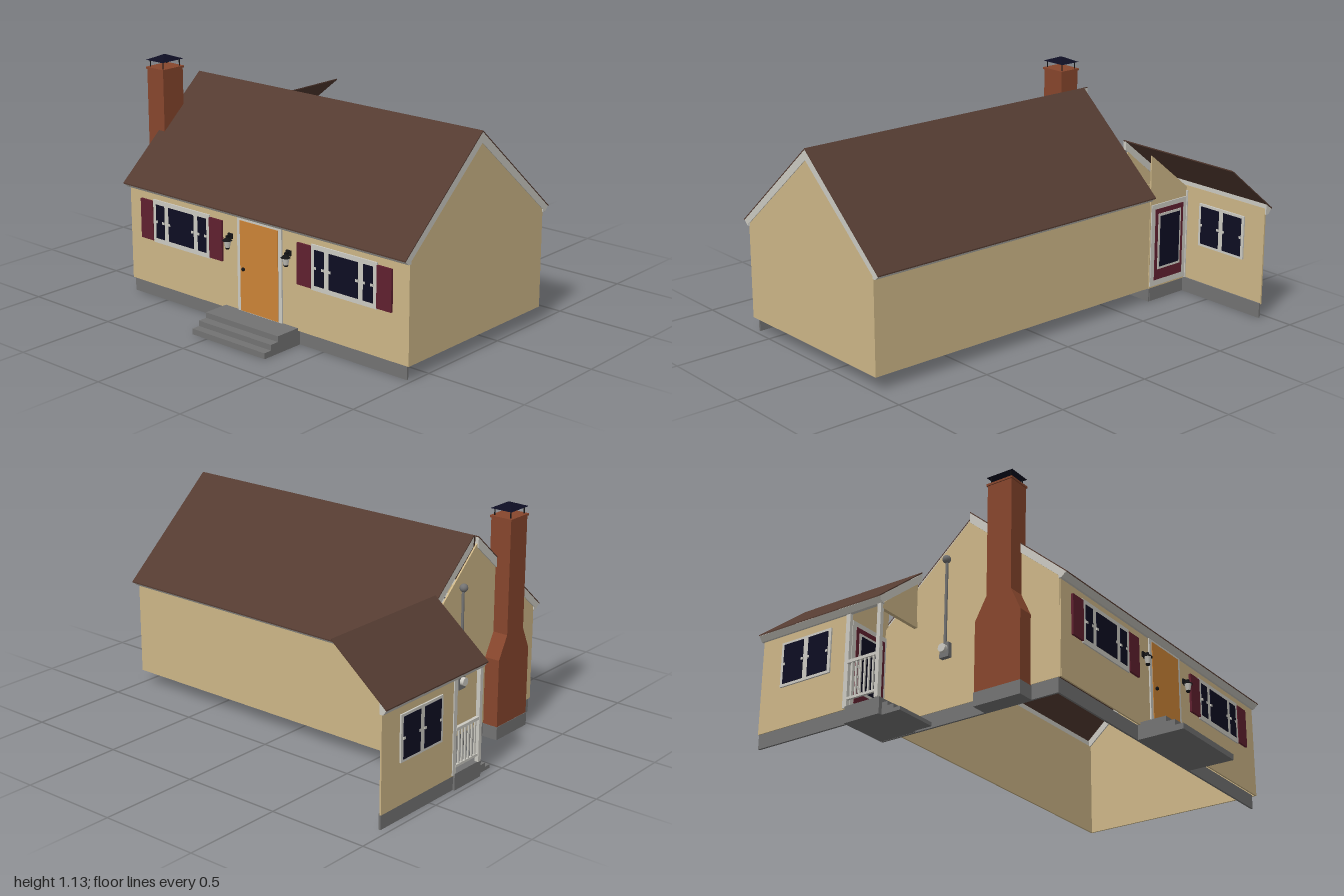
import * as THREE from 'three';

const mat = (name, color) => {
  const m = new THREE.MeshStandardMaterial({ color });
  m.name = name;
  return m;
};

export function createModel() {
  const house = new THREE.Group();
  house.name = 'house';
  const tan = mat('tanSiding', 0xcdb687), roofing = mat('brownShingle', 0x543b31);
  const trim = mat('paleTrim', 0xcccac2), stone = mat('greyConcrete', 0x737373);
  const brick = mat('redBrick', 0x87462d), maroon = mat('maroonPaint', 0x60202f);
  const glass = mat('navyGlass', 0x0d0d22), orange = mat('orangeDoor', 0xcc8437);
  const black = mat('blackMetal', 0x141416);
  roofing.side = THREE.DoubleSide;

  const add = (name, geo, m, parent = house) => {
    const mesh = new THREE.Mesh(geo, m);
    mesh.name = name;
    parent.add(mesh);
    return mesh;
  };
  // box given by its limits on each axis
  const box = (name, m, x0, x1, y0, y1, z0, z1, parent) => {
    const g = new THREE.BoxGeometry(x1 - x0, y1 - y0, z1 - z0);
    g.translate((x0 + x1) / 2, (y0 + y1) / 2, (z0 + z1) / 2);
    return add(name, g, m, parent);
  };
  const extrude = (pts, depth) => new THREE.ExtrudeGeometry(
    new THREE.Shape(pts.map(p => new THREE.Vector2(...p))), { depth, bevelEnabled: false });
  // [z, y] outline swept along x
  const alongX = (name, m, pts, x0, x1) =>
    add(name, extrude(pts, x1 - x0).rotateY(-Math.PI / 2).translate(x1, 0, 0), m);
  // [x, y] outline swept along z
  const alongZ = (name, m, pts, z0, z1) =>
    add(name, extrude(pts, z1 - z0).translate(0, 0, z0), m);

  // main walls
  box('frontWall', tan, -0.72, 0.995, 0.07, 0.55, 0.626, 0.634);
  box('backWall', tan, -0.715, 0.995, 0.07, 0.55, -0.33, -0.322);
  const gable = [[0.63, 0.07], [0.63, 0.55], [0.15, 0.975], [-0.326, 0.55], [-0.326, 0.07]];
  alongX('rightGableWall', tan, gable, 0.987, 0.995);
  alongX('leftGableWall', tan, gable, -0.722, -0.714);

  // main roof, rake boards and eave soffits
  [[1, -0.73], [-1, -0.703]].forEach(([s, xl]) => {
    const z = d => 0.15 + s * d;
    alongX('roofSlope', roofing, [[z(0.52), 0.555], [z(0), 1.012], [z(0), 1.006], [z(0.52), 0.549]], xl, 1);
    const rake = [[z(0.518), 0.552], [z(0), 1.007], [z(0), 0.957], [z(0.495), 0.53]];
    alongX('rakeBoard', trim, rake, 0.98, 0.999);
    alongX('rakeBoard', trim, rake, xl + 0.001, xl + 0.02);
    alongX('eaveSoffit', trim,
      [[z(0.518), 0.55], [z(0.495), 0.53], [z(0.478), 0.53], [z(0.478), 0.58]], xl + 0.002, 0.998);
  });

  // foundations
  box('frontFoundation', stone, -0.72, 0.975, 0, 0.07, 0.61, 0.62);
  box('leftFoundation', stone, -0.72, -0.71, 0, 0.07, -0.33, 0.62);
  box('wingFoundation', stone, -0.965, -0.955, 0, 0.075, -0.84, -0.33);
  box('chimneyFoundation', stone, -0.802, -0.71, 0, 0.065, 0.238, 0.482);

  // triple windows with shutters, set through the front wall
  [-0.37, 0.635].forEach(cx => {
    const w = new THREE.Group();
    w.name = 'frontWindow';
    house.add(w);
    box('windowFrame', trim, cx - 0.188, cx + 0.188, 0.288, 0.5, 0.619, 0.641, w);
    [[-0.167, -0.112], [-0.083, 0.083], [0.112, 0.167]].forEach(([a, b]) => {
      box('pane', glass, cx + a, cx + b, 0.312, 0.478, 0.616, 0.644, w);
      for (const e of [a, b]) {
        const inX = e === a ? [e - 0.001, e + 0.012] : [e - 0.012, e + 0.001];
        box('muntin', trim, cx + inX[0], cx + inX[1], 0.388, 0.4, 0.614, 0.646, w);
      }
    });
    for (const s of [-1, 1]) {
      const c = cx + s * 0.229;
      box('shutter', maroon, c - 0.041, c + 0.041, 0.295, 0.49, 0.615, 0.645, w);
    }
  });

  // front door
  box('doorCasing', trim, -0.004, 0.27, 0.07, 0.53, 0.619, 0.641);
  box('frontDoor', orange, 0.016, 0.25, 0.085, 0.518, 0.616, 0.644);
  add('doorKnob', new THREE.SphereGeometry(0.009, 12, 8).translate(0.04, 0.29, 0.65), black);

  // wall lanterns beside the door
  [-0.05, 0.312].forEach(x => {
    const l = new THREE.Group();
    l.name = 'wallLantern';
    l.position.set(x, 0, 0.658);
    house.add(l);
    box('bracket', black, -0.014, 0.014, 0.415, 0.44, -0.025, -0.015, l);
    box('arm', black, -0.005, 0.005, 0.425, 0.434, -0.02, 0.005, l);
    add('lanternCap', new THREE.CylinderGeometry(0.006, 0.024, 0.016, 6).translate(0, 0.418, 0), black, l);
    add('lanternGlass', new THREE.CylinderGeometry(0.018, 0.011, 0.034, 6).translate(0, 0.393, 0), trim, l);
    add('lanternBase', new THREE.CylinderGeometry(0.012, 0.008, 0.008, 6).translate(0, 0.373, 0), black, l);
  });

  // front steps
  [[0.765, 0.055, 0.082], [0.81, 0.028, 0.055], [0.852, 0, 0.028]].forEach(([z, y0, y1]) =>
    box('frontStep', stone, -0.09, 0.36, y0, y1, 0.618, z));

  // chimney with shoulders, crown and cap
  alongX('chimneyStack', brick, [[0.24, 0.065], [0.24, 0.4], [0.3, 0.51], [0.3, 0.78],
    [0.43, 0.78], [0.43, 0.51], [0.48, 0.4], [0.48, 0.065]], -0.8, -0.718);
  box('chimneyShaft', brick, -0.8, -0.69, 0.72, 1.062, 0.3, 0.43);
  box('chimneyCrown', brick, -0.805, -0.685, 1.06, 1.07, 0.295, 0.435);
  for (const x of [-0.789, -0.701]) for (const z of [0.311, 0.419])
    box('capPost', black, x - 0.002, x + 0.002, 1.07, 1.105, z - 0.002, z + 0.002);
  const cap = new THREE.ConeGeometry(Math.SQRT1_2, 1, 4, 1).rotateY(Math.PI / 4).toNonIndexed();
  cap.scale(0.115, 0.026, 0.14).translate(-0.745, 1.117, 0.365);
  cap.computeVertexNormals();
  add('chimneyCap', cap, glass);

  // service mast on the left gable
  add('serviceMast', new THREE.CylinderGeometry(0.007, 0.007, 0.44, 10).translate(-0.737, 0.58, 0.03), stone);
  add('mastHead', new THREE.SphereGeometry(0.02, 12, 8).translate(-0.74, 0.8, 0.03), stone);
  box('meterBox', stone, -0.745, -0.722, 0.31, 0.38, 0.005, 0.055);
  add('meterDial', new THREE.CylinderGeometry(0.02, 0.02, 0.02, 16).rotateZ(Math.PI / 2)
    .translate(-0.754, 0.35, 0.03), trim);

  // side wing: open half building with a single roof slope
  box('wingSideWall', tan, -0.969, -0.961, 0.07, 0.56, -0.843, -0.326);
  alongZ('wingEndWall', tan, [[-0.965, 0.07], [-0.705, 0.07], [-0.705, 0.76], [-0.965, 0.55]], -0.334, -0.326);
  alongZ('wingRoof', roofing, [[-1, 0.56], [-1, 0.554], [-0.705, 0.794], [-0.705, 0.8]], -0.853, -0.135);
  alongZ('wingRakeBoard', trim, [[-0.998, 0.556], [-0.975, 0.53], [-0.705, 0.75], [-0.705, 0.793]], -0.155, -0.136);
  alongZ('wingFascia', trim, [[-0.998, 0.555], [-0.98, 0.53], [-0.962, 0.53], [-0.962, 0.582]], -0.85, -0.137);
  alongZ('porchPediment', tan, [[-0.965, 0.535], [-0.72, 0.535], [-0.72, 0.74]], -0.155, -0.147);
  box('porchBeam', tan, -0.965, -0.72, 0.51, 0.54, -0.16, -0.142);

  // wing windows
  [-0.503, -0.648].forEach(z => {
    box('wingWindowFrame', trim, -0.977, -0.953, 0.27, 0.49, z - 0.074, z + 0.074);
    box('wingPane', glass, -0.98, -0.95, 0.283, 0.477, z - 0.058, z + 0.058);
    for (const s of [-1, 1])
      box('muntin', trim, -0.982, -0.948, 0.374, 0.386, z + s * 0.054 - 0.006, z + s * 0.054 + 0.006);
  });

  // wing door
  box('wingDoorCasing', trim, -0.955, -0.71, 0.08, 0.505, -0.34, -0.32);
  box('wingDoor', maroon, -0.93, -0.735, 0.11, 0.48, -0.343, -0.317);
  box('wingDoorFrame', trim, -0.912, -0.753, 0.165, 0.455, -0.346, -0.314);
  box('wingDoorPane', glass, -0.9, -0.765, 0.178, 0.442, -0.349, -0.311);

  // porch, steps and railing
  box('porchFloor', stone, -0.975, -0.722, 0, 0.08, -0.33, -0.135);
  [[-0.105, 0.058], [-0.07, 0.038], [-0.035, 0.018]].forEach(([z, y]) =>
    box('porchStep', stone, -0.955, -0.735, 0, y, -0.14, z));
  box('porchPost', trim, -0.98, -0.96, 0.08, 0.535, -0.162, -0.142);
  box('wingCornerBoard', trim, -0.974, -0.956, 0.075, 0.535, -0.345, -0.322);
  box('topRail', trim, -0.978, -0.962, 0.285, 0.3, -0.325, -0.15);
  box('bottomRail', trim, -0.976, -0.964, 0.11, 0.122, -0.325, -0.15);
  for (let i = 0; i < 6; i++) {
    const z = -0.3 + i * 0.024;
    box('baluster', trim, -0.974, -0.966, 0.12, 0.288, z - 0.004, z + 0.004);
  }
  return house;
}
